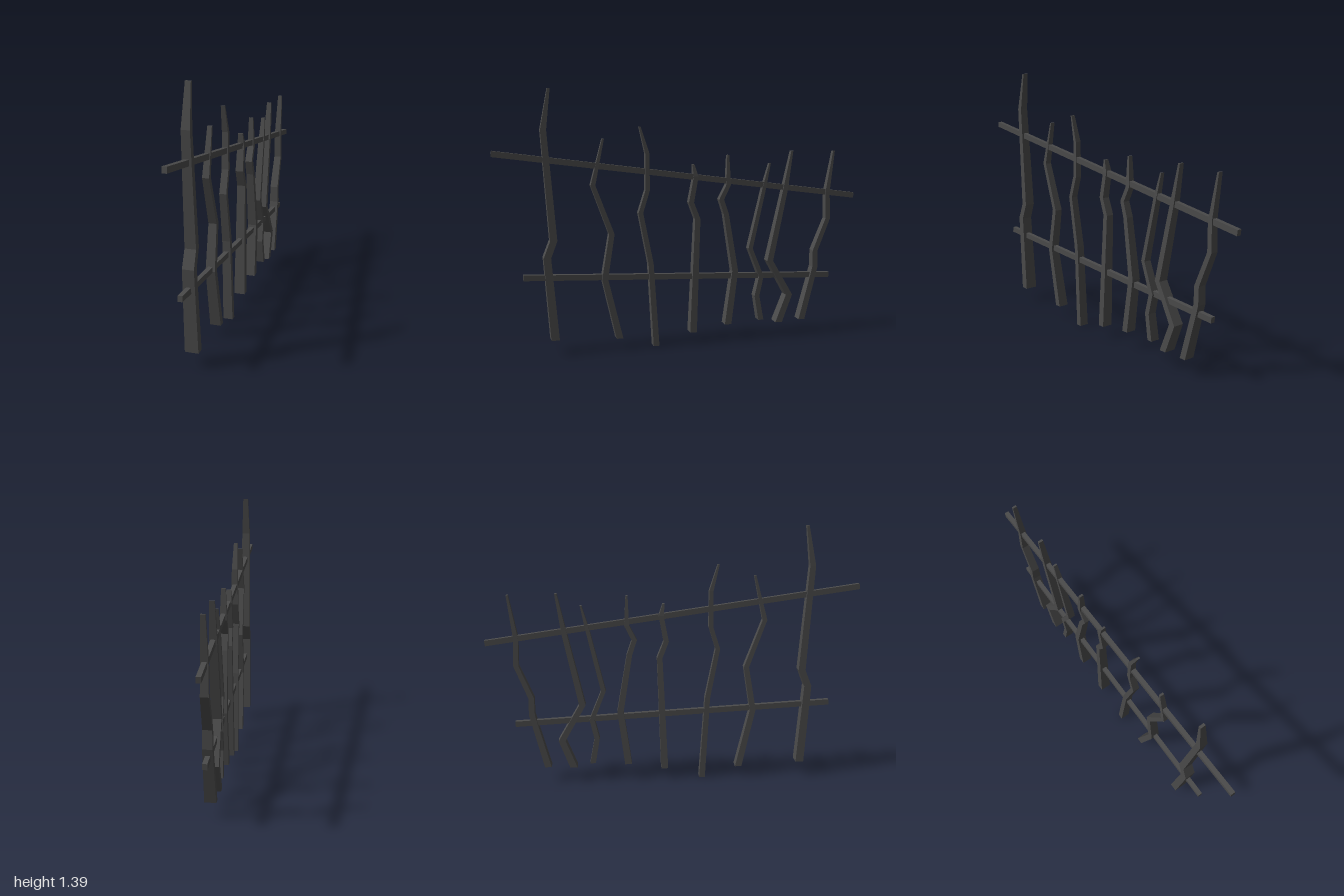
import * as THREE from 'three';

const material = new THREE.MeshStandardMaterial({ color: 0x4a4a4a, flatShading: true });

// Each stake: half width (x), half depth (z) at the foot, and its crooked centre line as [z, y]
const STAKES = [
  { hx: 0.035, hz: 0.022, line: [[0.704, 0.08], [0.735, 0.52], [0.7, 0.61], [0.738, 1.18], [0.705, 1.39]] },
  { hx: 0.029, hz: 0.018, line: [[0.36, 0.06], [0.435, 0.39], [0.395, 0.63], [0.49, 0.89], [0.433, 1.13]] },
  { hx: 0.026, hz: 0.016, line: [[0.158, 0], [0.185, 0.46], [0.238, 0.735], [0.2, 0.855], [0.2, 1.05], [0.238, 1.19]] },
  { hx: 0.03, hz: 0.019, line: [[-0.05, 0.06], [-0.075, 0.69], [-0.04, 0.78], [-0.066, 0.92], [-0.053, 0.985]] },
  { hx: 0.029, hz: 0.019, line: [[-0.25, 0.09], [-0.29, 0.39], [-0.237, 0.71], [-0.21, 0.79], [-0.25, 0.87], [-0.248, 1.03]] },
  { hx: 0.026, hz: 0.015, line: [[-0.445, 0.1], [-0.42, 0.24], [-0.445, 0.35], [-0.38, 0.51], [-0.458, 0.85], [-0.49, 0.98]] },
  { hx: 0.032, hz: 0.02, line: [[-0.55, 0.08], [-0.61, 0.235], [-0.495, 0.435], [-0.58, 0.83], [-0.619, 1.045]] },
  { hx: 0.029, hz: 0.018, line: [[-0.69, 0.085], [-0.767, 0.385], [-0.767, 0.48], [-0.84, 0.66], [-0.835, 0.81], [-0.87, 1.04]] },
];

// Square timber bent along its centre line, narrowing upwards to a blunt point
function stakeGeometry({ hx, hz, line }) {
  const n = line.length - 1;
  const y0 = line[0][1];
  const shoulder = line[n - 1][1];
  const box = new THREE.BoxGeometry(2, 1, 2, 1, n, 1);
  const pos = box.attributes.position;
  for (let i = 0; i < pos.count; i++) {
    const k = Math.round((pos.getY(i) + 0.5) * n);
    const [z, y] = line[k];
    const t = (y - y0) / (shoulder - y0);
    const sx = k === n ? 0.4 : 1 - 0.38 * t;
    const sz = k === n ? 0.3 : 1 - 0.3 * t;
    pos.setXYZ(i, pos.getX(i) * hx * sx, y, z + pos.getZ(i) * hz * sz);
  }
  const geometry = box.toNonIndexed();
  geometry.computeVertexNormals();
  return geometry;
}

// Straight rail between two [z, y] points
function rail(name, [z0, y0], [z1, y1]) {
  const length = Math.hypot(z1 - z0, y1 - y0);
  const mesh = new THREE.Mesh(new THREE.BoxGeometry(0.024, 0.03, length), material);
  mesh.position.set(0, (y0 + y1) / 2, (z0 + z1) / 2);
  mesh.rotation.x = -Math.atan2(y1 - y0, z1 - z0);
  mesh.name = name;
  return mesh;
}

export function createModel() {
  const fence = new THREE.Group();
  fence.name = 'crookedFence';

  // Upright stakes
  STAKES.forEach((stake, i) => {
    const mesh = new THREE.Mesh(stakeGeometry(stake), material);
    mesh.name = `stake${i + 1}`;
    fence.add(mesh);
  });

  // Two sloping cross rails
  fence.add(rail('upperRail', [-0.998, 0.785], [0.998, 1.065]));
  fence.add(rail('lowerRail', [-0.858, 0.332], [0.858, 0.42]));

  return fence;
}
